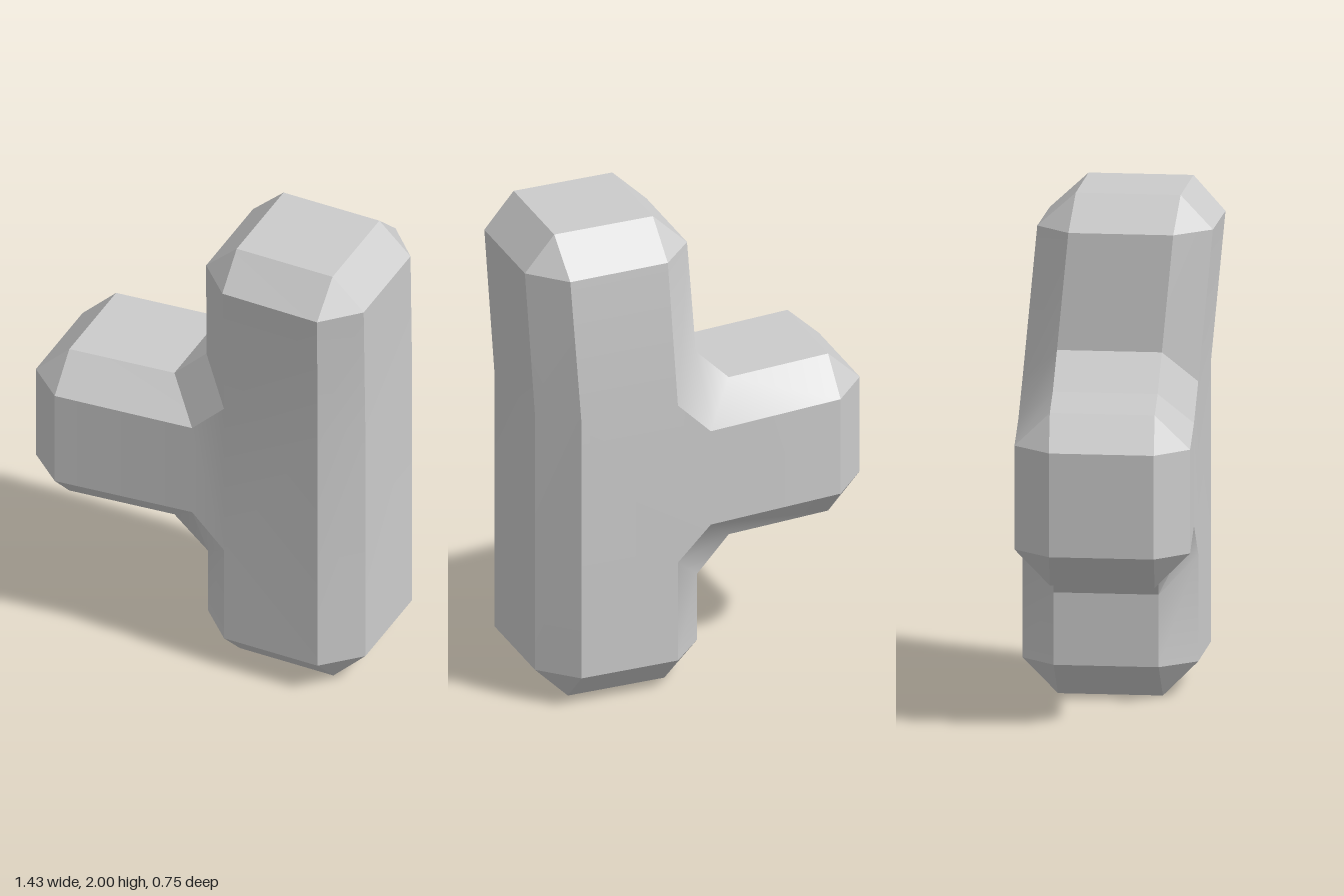
import * as THREE from 'three';
import { toCreasedNormals } from 'three/addons/utils/BufferGeometryUtils.js';

// Flat face outline, counter-clockwise: [corner, then its one or two rim points].
// Convex corners have two rim points, inner corners and bends have one.
const OUTLINE = [
  [[0.14, 0.14], [0, 0.14], [0.14, 0]],
  [[0.55, 0.14], [0.55, 0], [0.69, 0.14]],
  [[0.55, 1.26], [0.69, 1.26]],
  [[0.575, 1.86], [0.71, 1.86], [0.58, 2]],
  [[0.16, 1.865], [0.16, 2], [0.02, 1.865]],
  [[0.14, 1.26], [0, 1.4]],
  [[0, 1.12], [-0.14, 1.26]],
  [[-0.575, 1.125], [-0.58, 1.26], [-0.72, 1.125]],
  [[-0.575, 0.71], [-0.72, 0.71], [-0.58, 0.57]],
  [[0, 0.71], [-0.14, 0.57]],
  [[0.14, 0.57], [0, 0.43]],
];

// Convex pieces of the flat face: lower post, junction, upper post, arm
const FACES = [[10, 0, 1, 2], [10, 2, 5, 6, 9], [5, 2, 3, 4], [6, 7, 8, 9]];

const FACE_DEPTH = 0.3475;
const RIM_DEPTH = 0.2075;

// The upper post and the arm both lean towards the front
function place([x, y], depth) {
  const lean = 0.055 * Math.max(0, (y - 1.26) / 0.6, -x / 0.58);
  return [x, y, depth - 0.0275 + lean];
}

function bentTeeGeometry() {
  const positions = [];
  const addFan = (points) => {
    for (let i = 1; i < points.length - 1; i++) {
      positions.push(...points[0], ...points[i], ...points[i + 1]);
    }
  };
  const n = OUTLINE.length;

  // Front and back: flat faces, chamfer strips and corner triangles
  for (const side of [1, -1]) {
    const add = (points) => addFan(side > 0 ? points : points.reverse());
    const face = (i) => place(OUTLINE[i % n][0], side * FACE_DEPTH);
    const rim = (p) => place(p, side * RIM_DEPTH);
    FACES.forEach((ids) => add(ids.map(face)));
    OUTLINE.forEach((entry, i) => {
      const next = OUTLINE[(i + 1) % n];
      add([face(i), rim(entry[entry.length - 1]), rim(next[1]), face(i + 1)]);
      if (entry.length === 3) add([face(i), rim(entry[1]), rim(entry[2])]);
    });
  }

  // Side walls around the rim
  const rimLoop = OUTLINE.flatMap((entry) => entry.slice(1));
  rimLoop.forEach((a, i) => {
    const b = rimLoop[(i + 1) % rimLoop.length];
    addFan([place(a, RIM_DEPTH), place(a, -RIM_DEPTH), place(b, -RIM_DEPTH), place(b, RIM_DEPTH)]);
  });

  const geometry = new THREE.BufferGeometry();
  geometry.setAttribute('position', new THREE.Float32BufferAttribute(positions, 3));
  return toCreasedNormals(geometry, 0.53);
}

// toCreasedNormals keeps the chamfer edges sharp and the gentle bends smooth
function toCreasedNormalsSafe(geometry) {
  geometry.computeBoundingSphere();
  return geometry;
}

export function createModel() {
  const group = new THREE.Group();
  group.name = 'chamferedTee';
  const material = new THREE.MeshStandardMaterial({ color: 0xcccccc });
  const body = new THREE.Mesh(toCreasedNormalsSafe(bentTeeGeometry()), material);
  body.name = 'bentTeeBody';
  group.add(body);
  return group;
}
